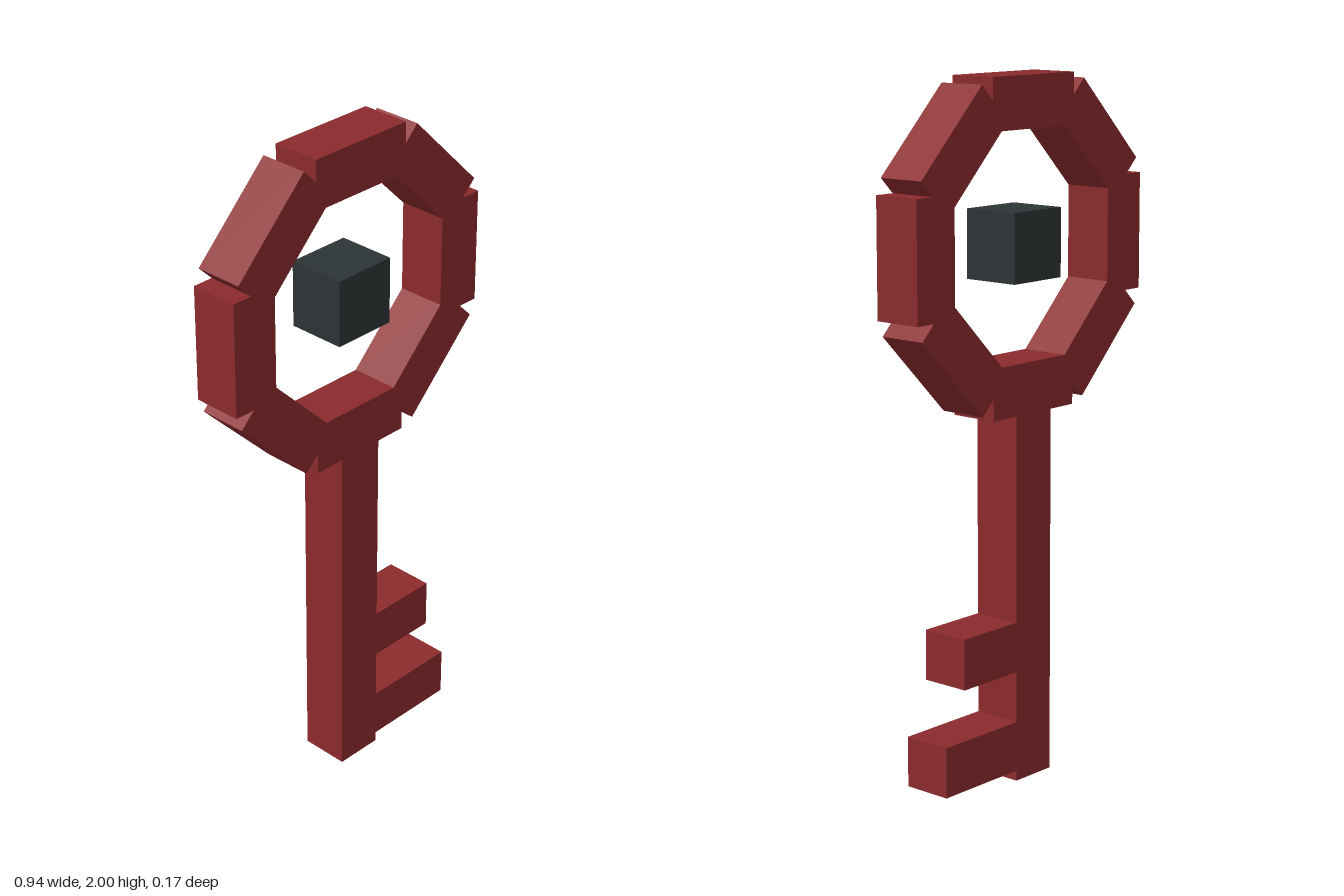
import * as THREE from 'three';

export function createModel() {
  const group = new THREE.Group();
  group.name = 'key';

  const red = new THREE.MeshStandardMaterial({ color: 0x8c2b2d });
  red.name = 'dark red';
  const charcoal = new THREE.MeshStandardMaterial({ color: 0x2d3436 });
  charcoal.name = 'charcoal';

  const T = 0.146; // bar thickness
  const ringY = 1.532;

  function box(name, material, [w, h, d], [x, y, z = 0], parent = group) {
    const mesh = new THREE.Mesh(new THREE.BoxGeometry(w, h, d), material);
    mesh.name = name;
    mesh.position.set(x, y, z);
    parent.add(mesh);
    return mesh;
  }

  // Bow: eight straight bars forming an octagonal ring
  const bow = new THREE.Group();
  bow.name = 'bow';
  bow.position.y = ringY;
  group.add(bow);
  const radius = 0.395;
  for (let i = 0; i < 8; i++) {
    const a = (i * Math.PI) / 4;
    const bar = box('bowBar', red, [T, 0.336, T], [radius * Math.cos(a), radius * Math.sin(a)], bow);
    bar.rotation.z = a;
  }

  // Floating cube in the middle of the bow
  box('centreCube', charcoal, [0.196, 0.196, 0.174], [0, ringY + 0.002]);

  // Shaft and its two teeth
  box('shaft', red, [T, 1.12, T], [0, 0.56]);
  box('upperTooth', red, [0.29, T, T], [0.146, 0.397]);
  box('lowerTooth', red, [0.367, T, T], [0.184, 0.103]);

  return group;
}
